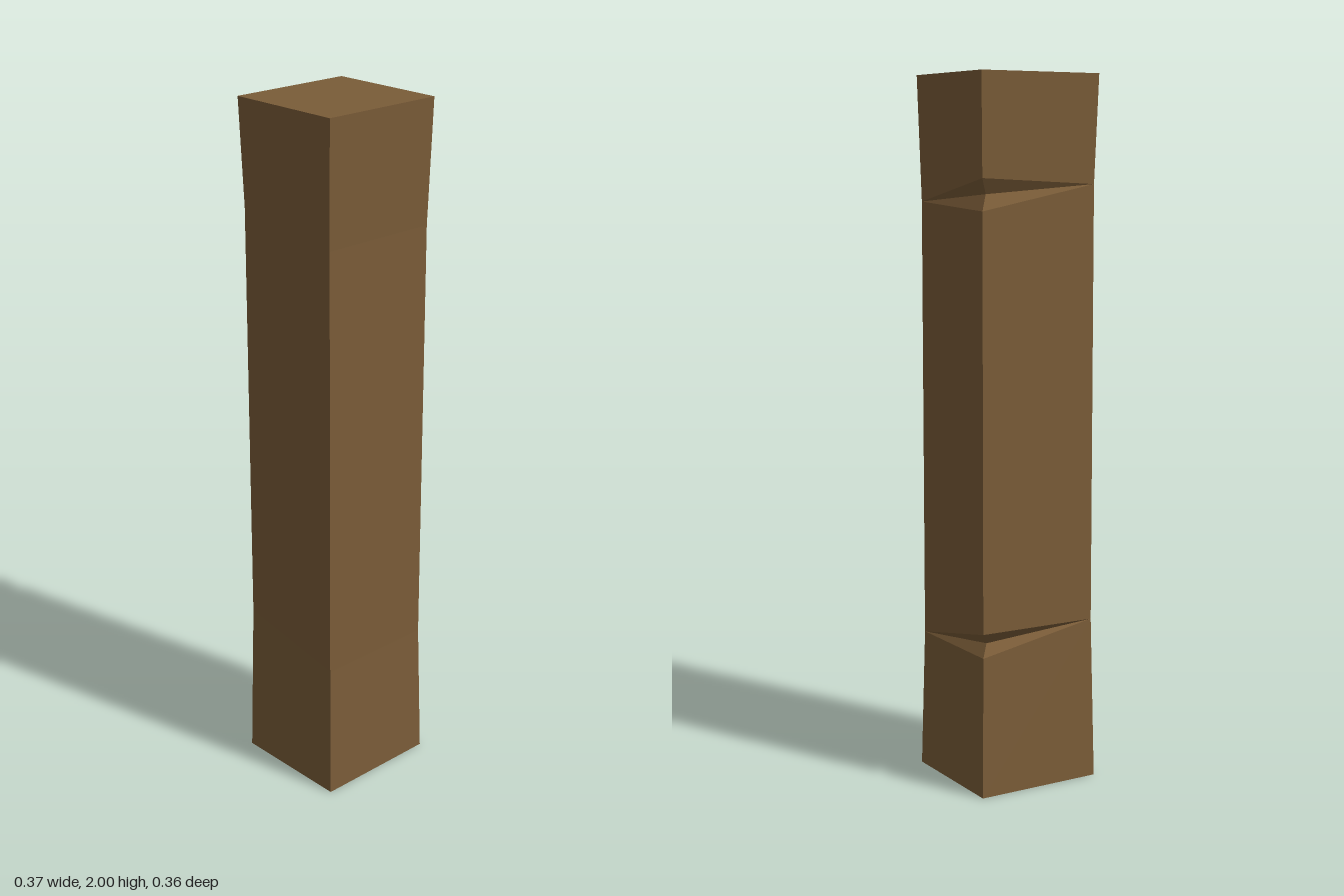
import * as THREE from 'three';

// Rings of four corners from bottom to top: front left, back left, back right, front right.
// Only the back left corner is notched; the others repeat a point where the grooves run out.
const HX = 0.187, HZ = 0.178; // half size at the ends
const WX = 0.179, WZ = 0.168; // half size at the waist

function ring(yFL, yBL, yBR, yFR, hx, hz, inset = 0) {
  return [
    [hx, yFL, hz],
    [hx - inset, yBL, -hz + inset],
    [-hx, yBR, -hz],
    [-hx, yFR, hz],
  ].map((p) => new THREE.Vector3(...p));
}

function notchRings(lowLip, root, highLip, yFL, yBR, yFR) {
  return [[lowLip, 0], [root, 0.025], [highLip, 0]].map(([y, inset]) => ring(yFL, y, yBR, yFR, WX, WZ, inset));
}

function postGeometry() {
  const rings = [
    ring(0, 0, 0, 0, HX, HZ),
    ...notchRings(0.4, 0.435, 0.468, 0.4, 0.465, 0.4),
    ...notchRings(1.63, 1.675, 1.718, 1.65, 1.7, 1.65),
    ring(2, 2, 2, 2, HX, HZ),
  ];
  // The root moves inwards on the notched corner only
  const positions = [];
  const triangle = (a, b, c) => {
    if (new THREE.Triangle(a, b, c).getArea() < 1e-7) return;
    for (const p of [a, b, c]) positions.push(p.x, p.y, p.z);
  };

  // Sides
  for (let r = 0; r < rings.length - 1; r++) {
    for (let i = 0; i < 4; i++) {
      const j = (i + 1) % 4;
      const a = rings[r][i], b = rings[r][j], c = rings[r + 1][j], d = rings[r + 1][i];
      triangle(a, b, c);
      triangle(a, c, d);
    }
  }

  // End caps
  const [b0, b1, b2, b3] = rings[0];
  const [t0, t1, t2, t3] = rings[rings.length - 1];
  triangle(b0, b2, b1);
  triangle(b0, b3, b2);
  triangle(t0, t1, t2);
  triangle(t0, t2, t3);

  const geometry = new THREE.BufferGeometry();
  geometry.setAttribute('position', new THREE.Float32BufferAttribute(positions, 3));
  geometry.computeVertexNormals();
  return geometry;
}

export function createModel() {
  const group = new THREE.Group();
  group.name = 'woodenPost';
  const wood = new THREE.MeshStandardMaterial({ color: 0x7a5c38, flatShading: true });
  const post = new THREE.Mesh(postGeometry(), wood);
  post.name = 'notchedPost';
  group.add(post);
  return group;
}
